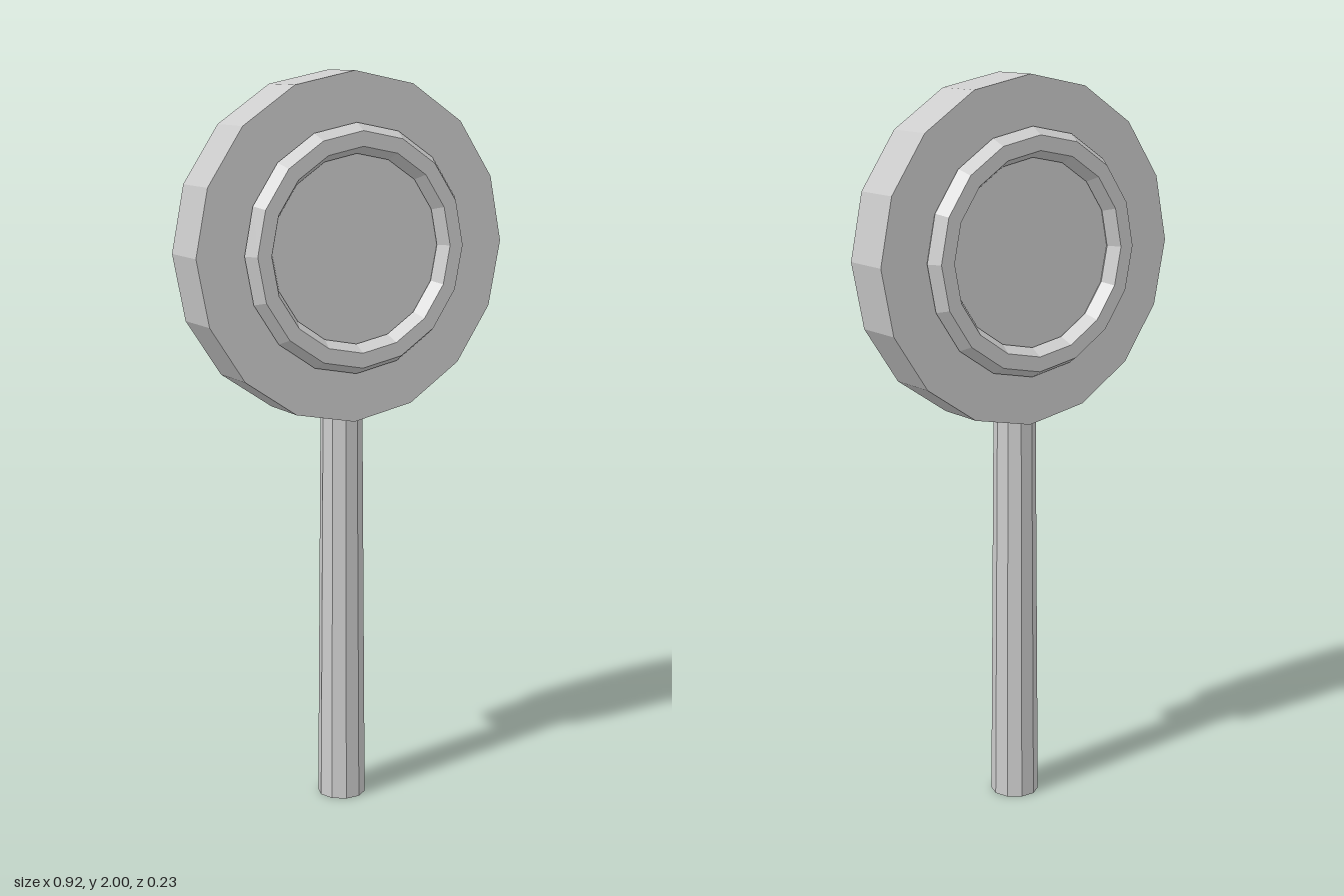
import * as THREE from 'three';

export function createModel() {
  const group = new THREE.Group();
  const grey = new THREE.MeshStandardMaterial({ color: 0xcccccc, flatShading: true });
  grey.name = 'light grey';

  const add = (name, geometry, y, z = 0) => {
    const mesh = new THREE.Mesh(geometry, grey);
    mesh.name = name;
    mesh.position.set(0, y, z);
    group.add(mesh);
  };

  const headY = 1.538;

  // Tapered ten-sided handle, its top sunk into the rim of the head
  const handleHeight = 1.12;
  add('handle', new THREE.CylinderGeometry(0.057, 0.066, handleHeight, 10).rotateY(Math.PI / 2), handleHeight / 2);

  // Thick sixteen-sided disc facing front and back
  add('head', new THREE.CylinderGeometry(0.462, 0.462, 0.142, 16).rotateX(Math.PI / 2), headY);

  // Raised ring with a hexagonal section on each face
  for (const side of [1, -1]) {
    add(side > 0 ? 'frontRing' : 'backRing', new THREE.TorusGeometry(0.29, 0.04, 6, 16), headY, side * 0.08);
  }

  return group;
}
